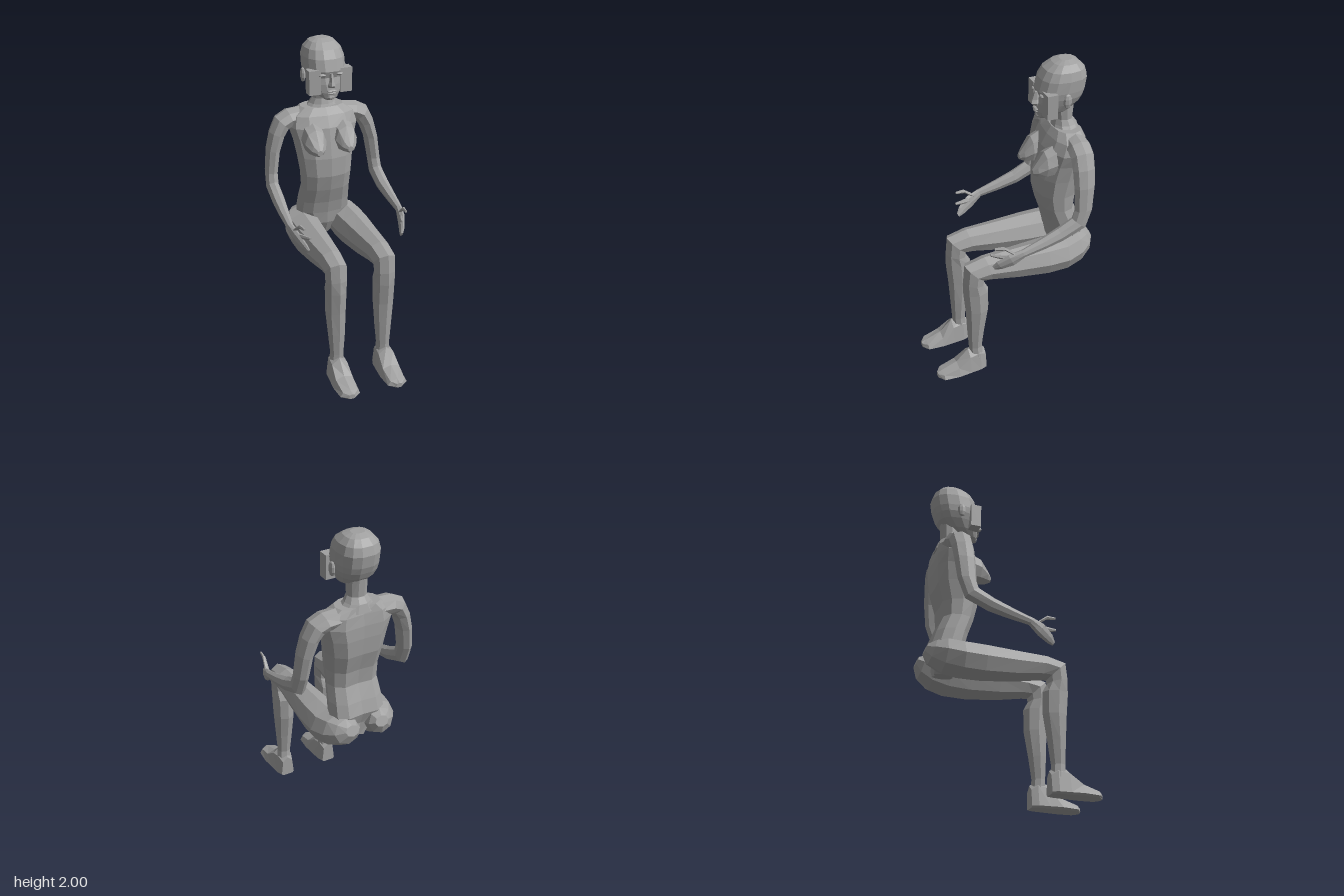
import * as THREE from 'three';

const skin = new THREE.MeshStandardMaterial({ color: 0xa0a0a0 });
skin.name = 'grey skin';

// Lofts rings along a path. Row: [x, y, z, halfWidth, halfDepth, pitch, roll] (degrees).
// Pitch 0 climbs along +y, pitch 90 runs along -z; roll turns the climb towards -x.
function loft(rows, n = 8, { square = 1, groove = 0, floor = -1 } = {}) {
  const Z = new THREE.Vector3(0, 0, 1);
  const rings = rows.map(([x, y, z, a, b, pitch = 0, roll = 0]) => {
    const p = THREE.MathUtils.degToRad(pitch), r = THREE.MathUtils.degToRad(roll);
    const ring = [];
    for (let i = 0; i < n; i++) {
      const t = (i / n) * Math.PI * 2;
      const soft = (v) => Math.sign(v) * Math.pow(Math.abs(v), square);
      const u = a * soft(Math.cos(t));
      let v = b * soft(Math.sin(t));
      if (i === n * 0.75) v += groove;
      const q = new THREE.Vector3(u, v * Math.sin(p), v * Math.cos(p)).applyAxisAngle(Z, r);
      q.add(new THREE.Vector3(x, y, z));
      q.y = Math.max(q.y, floor);
      ring.push(q);
    }
    return ring;
  });
  const pos = [];
  const tri = (...pts) => pts.forEach((q) => pos.push(q.x, q.y, q.z));
  const middle = (ring) => ring.reduce((s, q) => s.add(q), new THREE.Vector3()).divideScalar(n);
  const first = rings[0], last = rings[rings.length - 1];
  const c0 = middle(first), c1 = middle(last);
  for (let i = 0; i < n; i++) {
    const j = (i + 1) % n;
    for (let k = 0; k < rings.length - 1; k++) {
      const lo = rings[k], hi = rings[k + 1];
      tri(lo[i], hi[i], lo[j]);
      tri(hi[i], hi[j], lo[j]);
    }
    tri(c0, first[i], first[j]);
    tri(c1, last[j], last[i]);
  }
  const g = new THREE.BufferGeometry();
  g.setAttribute('position', new THREE.Float32BufferAttribute(pos, 3));
  g.computeVertexNormals();
  return g;
}

// Rows given as [y, halfWidth, zFront, zBack]
const upright = (rows) => rows.map(([y, a, f, b]) => [0, y, (f + b) / 2, a, (f - b) / 2]);

// Faceted ellipsoid
function blob(x, y, z, sx, sy, sz, w = 8, h = 5) {
  const g = new THREE.SphereGeometry(1, w, h).toNonIndexed();
  g.scale(sx, sy, sz).translate(x, y, z);
  g.computeVertexNormals();
  return g;
}

// Mirrored copy across x = 0 with corrected winding
function mirrored(source) {
  const g = source.index ? source.toNonIndexed() : source.clone();
  g.scale(-1, 1, 1);
  const p = g.attributes.position;
  for (let i = 0; i < p.count; i += 3) {
    const b = new THREE.Vector3().fromBufferAttribute(p, i + 1);
    const c = new THREE.Vector3().fromBufferAttribute(p, i + 2);
    p.setXYZ(i + 1, c.x, c.y, c.z);
    p.setXYZ(i + 2, b.x, b.y, b.z);
  }
  g.computeVertexNormals();
  return g;
}

export function createModel() {
  const model = new THREE.Group();
  model.name = 'seatedFigure';
  const add = (name, g) => {
    const m = new THREE.Mesh(g, skin);
    m.name = name;
    model.add(m);
  };
  const pair = (name, g) => {
    add('left' + name, g);
    add('right' + name, mirrored(g));
  };

  // Torso and neck
  add('torso', loft(upright([
    [0.70, 0.04, -0.33, -0.46], [0.79, 0.12, -0.29, -0.47], [0.87, 0.175, -0.28, -0.50],
    [0.95, 0.17, -0.26, -0.475], [1.05, 0.16, -0.225, -0.435], [1.15, 0.165, -0.2, -0.445],
    [1.27, 0.18, -0.2, -0.48], [1.38, 0.2, -0.22, -0.49], [1.46, 0.225, -0.235, -0.49],
    [1.53, 0.21, -0.27, -0.48], [1.575, 0.14, -0.30, -0.465],
  ]), 12, { square: 0.85, groove: 0.02 }));
  add('neck', loft(upright([
    [1.54, 0.13, -0.29, -0.47], [1.59, 0.08, -0.31, -0.455], [1.625, 0.06, -0.32, -0.43],
    [1.75, 0.06, -0.30, -0.44],
  ]), 10));
  pair('Breast', loft([
    [0.10, 1.345, -0.135, 0.018, 0.018, 90], [0.10, 1.355, -0.16, 0.045, 0.042, 90],
    [0.10, 1.385, -0.21, 0.07, 0.085, 90], [0.10, 1.40, -0.27, 0.075, 0.1, 90],
  ]));

  // Head
  add('head', loft(upright([
    [1.65, 0.03, -0.215, -0.30], [1.665, 0.052, -0.20, -0.32], [1.70, 0.08, -0.195, -0.40],
    [1.75, 0.105, -0.2, -0.455], [1.79, 0.12, -0.21, -0.475], [1.83, 0.125, -0.195, -0.49],
    [1.90, 0.125, -0.215, -0.5], [1.95, 0.11, -0.245, -0.485], [1.985, 0.078, -0.295, -0.45],
    [2.0, 0.04, -0.34, -0.41],
  ]), 14, { square: 0.8 }));
  add('nose', loft([
    [0, 1.735, -0.2, 0.022, 0.02], [0, 1.75, -0.195, 0.024, 0.036],
    [0, 1.77, -0.197, 0.014, 0.03], [0, 1.82, -0.2, 0.01, 0.014],
  ], 6));
  add('upperLip', blob(0, 1.713, -0.194, 0.032, 0.008, 0.014, 8, 4));
  add('lowerLip', blob(0, 1.699, -0.195, 0.026, 0.008, 0.013, 8, 4));
  add('chin', blob(0, 1.67, -0.207, 0.028, 0.018, 0.014, 6, 4));
  pair('Eye', blob(0.055, 1.812, -0.207, 0.024, 0.009, 0.014, 8, 4));
  pair('Ear', blob(0.134, 1.79, -0.335, 0.016, 0.046, 0.027));

  // Square blocks beside the cheeks
  pair('CheekBlock', new THREE.BoxGeometry(0.075, 0.15, 0.065).translate(0.1, 1.768, -0.242));

  // Arms, from wrist to shoulder
  pair('Arm', loft([
    [0.357, 0.97, 0.03, 0.022, 0.026, 75], [0.354, 1.005, -0.10, 0.033, 0.036, 72],
    [0.35, 1.04, -0.21, 0.041, 0.044, 70], [0.35, 1.095, -0.33, 0.041, 0.056, 40],
    [0.346, 1.18, -0.36, 0.041, 0.058, 0, 4], [0.328, 1.32, -0.37, 0.044, 0.066, 0, 9],
    [0.298, 1.42, -0.375, 0.05, 0.07, 0, 18], [0.262, 1.485, -0.38, 0.058, 0.073, 0, 45],
    [0.21, 1.51, -0.385, 0.058, 0.075, 0, 72], [0.12, 1.515, -0.39, 0.06, 0.07, 0, 85],
  ]));

  // Hands
  pair('Palm', loft([
    [0.302, 0.875, 0.195, 0.01, 0.016, 60], [0.318, 0.895, 0.165, 0.017, 0.034, 60],
    [0.343, 0.932, 0.10, 0.022, 0.045, 65], [0.357, 0.97, 0.03, 0.022, 0.028, 75],
  ]));
  pair('Thumb', loft([
    [0.328, 1.027, 0.198, 0.007, 0.008, 90], [0.335, 1.022, 0.14, 0.011, 0.013, 80],
    [0.348, 0.965, 0.07, 0.015, 0.022, 60],
  ], 6));
  pair('Finger', loft([
    [0.297, 0.968, 0.212, 0.007, 0.008, 90], [0.312, 0.958, 0.17, 0.011, 0.013, 90],
    [0.34, 0.945, 0.10, 0.014, 0.02, 80],
  ], 6));

  // Legs, from ankle over the knee to the buttock
  pair('Leg', loft([
    [0.158, 0.10, 0.262, 0.05, 0.048], [0.155, 0.18, 0.268, 0.044, 0.044],
    [0.155, 0.32, 0.262, 0.056, 0.058], [0.158, 0.48, 0.252, 0.066, 0.076],
    [0.158, 0.62, 0.258, 0.068, 0.082], [0.158, 0.69, 0.272, 0.07, 0.068, 12],
    [0.158, 0.762, 0.265, 0.072, 0.086, 45], [0.158, 0.775, 0.18, 0.078, 0.082, 78],
    [0.156, 0.763, 0, 0.095, 0.1, 90], [0.155, 0.755, -0.2, 0.114, 0.115, 90],
    [0.15, 0.757, -0.33, 0.12, 0.115, 90], [0.135, 0.775, -0.43, 0.11, 0.11, 85],
    [0.115, 0.795, -0.495, 0.085, 0.08, 75], [0.1, 0.815, -0.53, 0.045, 0.035, 70],
  ], 8));

  // Feet with flat soles, from toe to heel
  pair('Foot', loft([
    [0.158, 0.008, 0.53, 0.02, 0.025, 90], [0.158, 0.008, 0.50, 0.064, 0.036, 90],
    [0.158, 0.01, 0.40, 0.073, 0.072, 90], [0.157, 0.01, 0.32, 0.066, 0.15, 90],
    [0.157, 0.01, 0.25, 0.06, 0.165, 90], [0.157, 0.01, 0.21, 0.045, 0.13, 90],
  ], 8, { square: 0.8, floor: 0 }));

  return model;
}
